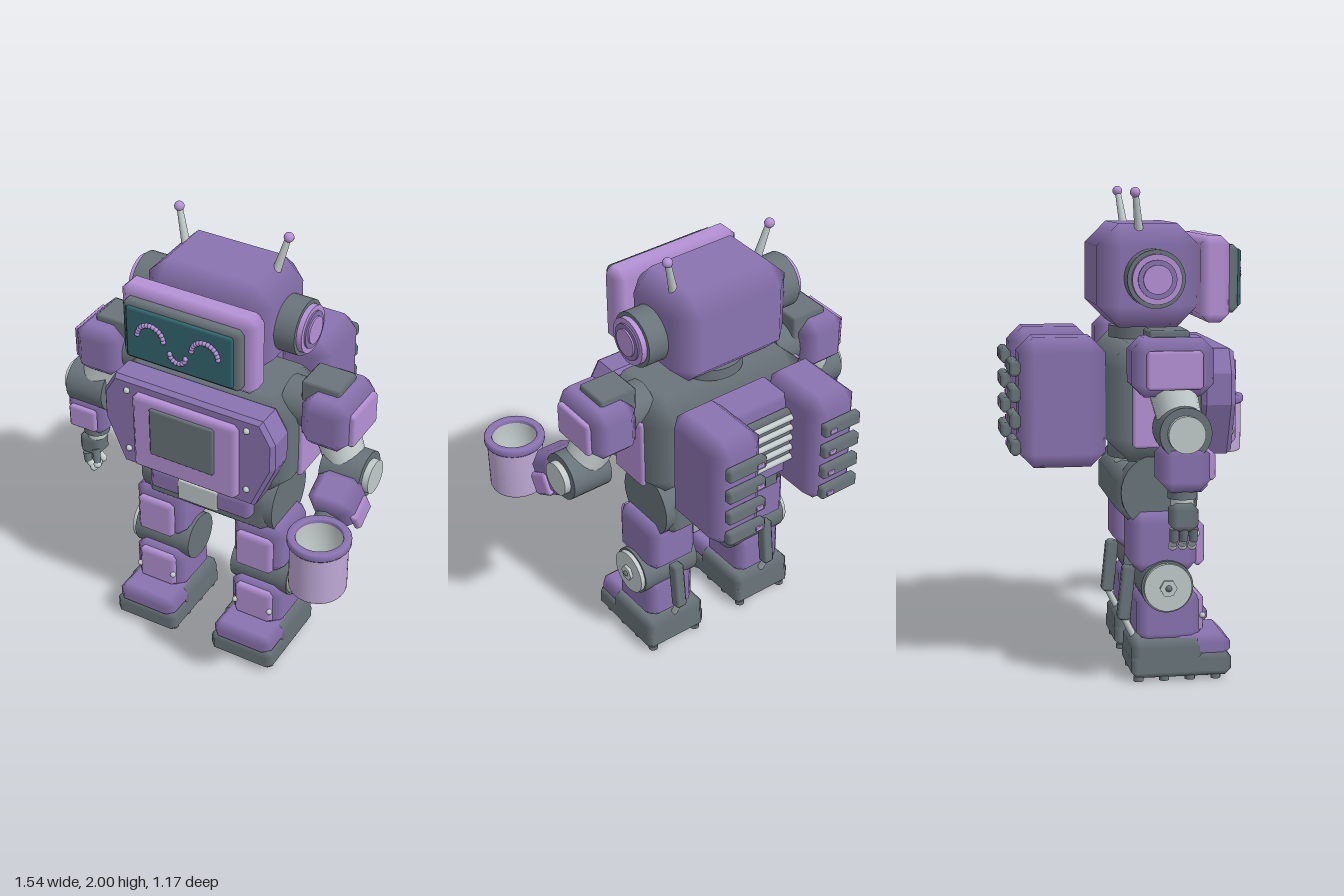
import * as THREE from 'three';
import { ConvexGeometry } from 'three/addons/geometries/ConvexGeometry.js';

const mat = (name, color, side = THREE.FrontSide) => {
  const m = new THREE.MeshStandardMaterial({ color, side });
  m.name = name;
  return m;
};

// Box with 45 degree chamfers, flat faces and softly shaded edges
function chamferBox(w, h, d, c = 0.02) {
  const half = [w / 2, h / 2, d / 2];
  const pts = [];
  for (let axis = 0; axis < 3; axis++)
    for (const a of [-1, 1]) for (const b of [-1, 1]) for (const e of [-1, 1]) {
      const sg = [a, b, e];
      pts.push(new THREE.Vector3(...half.map((v, i) => sg[i] * (i === axis ? v : v - c))));
    }
  const g = new ConvexGeometry(pts);
  const p = g.attributes.position, n = g.attributes.normal;
  for (let i = 0; i < p.count; i++) {
    const v = [p.getX(i), p.getY(i), p.getZ(i)];
    n.setXYZ(i, ...v.map((q, k) => (Math.abs(Math.abs(q) - half[k]) < 1e-5 ? Math.sign(q) : 0)));
  }
  return g;
}

export function createModel() {
  const purple = mat('purple shell', 0x8a73b0);
  const lilac = mat('lilac panel', 0xb592d6);
  const dark = mat('dark grey', 0x69747a);
  const light = mat('light metal', 0xc2caca);
  const teal = mat('teal screen', 0x33656f);
  const pale = mat('pale lilac', 0xbfa9d6, THREE.DoubleSide);

  const model = new THREE.Group();
  const robot = new THREE.Group();
  robot.name = 'robot';
  robot.position.x = -0.04;
  model.add(robot);

  const add = (name, geo, m, x, y, z, parent = robot) => {
    const mesh = new THREE.Mesh(geo, m);
    mesh.name = name;
    mesh.position.set(x, y, z);
    parent.add(mesh);
    return mesh;
  };
  const box = (name, m, w, h, d, c, x, y, z, parent) => add(name, chamferBox(w, h, d, c), m, x, y, z, parent);
  const ball = (name, m, r, x, y, z, parent) => add(name, new THREE.SphereGeometry(r, 16, 12), m, x, y, z, parent);
  const cyl = (name, m, r, h, x, y, z, parent, sides = 32) =>
    add(name, new THREE.CylinderGeometry(r, r, h, sides), m, x, y, z, parent);
  // Cylinder lying along x
  const disc = (name, m, r, h, x, y, z, parent, sides) => {
    const c = cyl(name, m, r, h, x, y, z, parent, sides);
    c.rotation.z = Math.PI / 2;
    return c;
  };
  // Round rod between two points
  const rod = (name, m, a, b, r0, r1, parent) => {
    const p = new THREE.Vector3(...a), q = new THREE.Vector3(...b), dir = q.clone().sub(p);
    const mid = p.clone().add(q).multiplyScalar(0.5);
    const c = add(name, new THREE.CylinderGeometry(r1, r0, dir.length(), 20), m, mid.x, mid.y, mid.z, parent);
    c.quaternion.setFromUnitVectors(new THREE.Vector3(0, 1, 0), dir.normalize());
    return c;
  };

  // Head
  box('head', purple, 0.57, 0.42, 0.42, 0.09, 0, 1.645, -0.005);
  box('face frame', lilac, 0.61, 0.35, 0.12, 0.035, 0, 1.632, 0.255);
  box('screen bezel', dark, 0.532, 0.275, 0.07, 0.02, 0, 1.632, 0.32);
  box('screen', teal, 0.48, 0.232, 0.04, 0.008, 0, 1.635, 0.35);
  // Beaded smiling eyes and mouth
  const beads = (name, cx, cy, r, from, to, count) => {
    for (let i = 0; i < count; i++) {
      const a = from + ((to - from) * i) / (count - 1);
      add(name, new THREE.SphereGeometry(0.011, 8, 6), lilac, cx + r * Math.cos(a), cy + r * Math.sin(a), 0.373);
    }
  };
  for (const s of [-1, 1]) {
    beads('eye', s * 0.123, 1.637, 0.06, 0.1, Math.PI - 0.1, 13);
    disc('ear base', dark, 0.117, 0.1, s * 0.325, 1.64, 0);
    disc('ear ring', lilac, 0.1, 0.024, s * 0.386, 1.64, 0);
    disc('ear inset', purple, 0.078, 0.008, s * 0.401, 1.64, 0);
    disc('ear cap', lilac, 0.058, 0.02, s * 0.402, 1.64, 0);
    rod('antenna', light, [s * 0.208, 1.83, -0.045], [s * 0.247, 1.98, -0.065], 0.018, 0.012);
    ball('antenna tip', lilac, 0.021, s * 0.248, 1.979, -0.066);
  }
  beads('mouth', 0, 1.6, 0.036, Math.PI + 0.1, 2 * Math.PI - 0.1, 8);

  // Neck and torso
  cyl('neck', dark, 0.14, 0.05, 0, 1.405, 0);
  cyl('neck core', dark, 0.1, 0.12, 0, 1.4, 0);
  box('torso', dark, 0.8, 0.48, 0.46, 0.1, 0, 1.14, 0.03);
  const chest = new THREE.Shape(
    [[-0.3, 0.94], [0.3, 0.94], [0.385, 1.14], [0.385, 1.26], [0.335, 1.345], [-0.335, 1.345], [-0.385, 1.26], [-0.385, 1.14]]
      .map(([x, y]) => new THREE.Vector2(x, y)));
  add('chest plate', new THREE.ExtrudeGeometry(chest, {
    depth: 0.1, bevelThickness: 0.02, bevelSize: 0.015, bevelSegments: 1 }), purple, 0, 0, 0.2);
  box('chest panel', lilac, 0.49, 0.365, 0.06, 0.02, 0, 1.133, 0.325);
  box('chest inset', dark, 0.3, 0.23, 0.03, 0.008, 0, 1.17, 0.355);
  for (const s of [-1, 1]) {
    for (const y of [1.305, 1.01]) ball('chest bolt', light, 0.014, s * 0.28, y, 0.322);
    box('torso side panel', lilac, 0.03, 0.32, 0.2, 0.012, s * 0.4, 1.13, 0);
  }

  // Waist, pelvis and belt
  cyl('waist ring', dark, 0.165, 0.06, 0, 0.91, 0.02);
  cyl('waist', light, 0.135, 0.1, 0, 0.87, 0.02);
  box('pelvis', dark, 0.63, 0.22, 0.34, 0.055, 0, 0.758, 0.02);
  box('belt', purple, 0.49, 0.115, 0.08, 0.025, 0, 0.808, 0.2);
  box('buckle', light, 0.19, 0.1, 0.03, 0.005, 0, 0.808, 0.232);

  // Legs
  for (const s of [-1, 1]) {
    const leg = new THREE.Group();
    leg.name = s > 0 ? 'left leg' : 'right leg';
    leg.position.x = s * 0.245;
    robot.add(leg);
    disc('hip', dark, 0.155, 0.1, s * 0.025, 0.775, 0.02, leg);
    box('thigh', purple, 0.245, 0.25, 0.28, 0.045, 0, 0.57, 0.04, leg);
    box('thigh pad', lilac, 0.178, 0.185, 0.05, 0.02, 0, 0.557, 0.183, leg);
    disc('knee', dark, 0.107, 0.275, 0, 0.395, 0.045, leg);
    disc('knee cap', light, 0.098, 0.02, s * 0.147, 0.395, 0.045, leg);
    disc('knee nut', light, 0.036, 0.022, s * 0.16, 0.395, 0.045, leg, 6);
    ball('knee bolt', dark, 0.014, s * 0.167, 0.395, 0.045, leg);
    box('calf', purple, 0.25, 0.22, 0.27, 0.045, 0, 0.26, 0.06, leg);
    box('shin pad', lilac, 0.185, 0.17, 0.05, 0.02, 0, 0.265, 0.18, leg);
    for (const b of [-1, 1]) ball('shin bolt', light, 0.013, b * 0.085, 0.257, 0.2, leg);
    box('piston', dark, 0.055, 0.23, 0.055, 0.012, 0, 0.345, -0.105, leg).rotation.x = 0.1;
    rod('piston rod', light, [0, 0.25, -0.12], [0, 0.16, -0.075], 0.014, 0.014, leg);
    // Boot
    box('boot sole', dark, 0.306, 0.1, 0.415, 0.025, 0, 0.065, 0.105, leg);
    box('boot heel', dark, 0.304, 0.155, 0.3, 0.03, 0, 0.095, 0.05, leg);
    box('toe cap', purple, 0.285, 0.1, 0.24, 0.035, 0, 0.135, 0.193, leg);
    for (const b of [-1, 1]) for (let i = 0; i < 4; i++)
      cyl('tread', dark, 0.021, 0.02, b * 0.115, 0.01, 0.25 - i * 0.107, leg, 12);
  }

  // Backpack
  for (const s of [-1, 1]) {
    box('backpack pod', purple, 0.245, 0.525, 0.35, 0.06, s * 0.24, 1.147, -0.37);
    for (let i = 0; i < 4; i++) {
      box('backpack fin', dark, 0.19, 0.065, 0.045, 0.014, s * 0.24, 1.29 - i * 0.106, -0.56);
      box('fin lamp', lilac, 0.035, 0.02, 0.012, 0.003, s * 0.185, 1.29 - i * 0.106, -0.583);
    }
  }
  box('backpack core', purple, 0.3, 0.4, 0.18, 0.02, 0, 1.16, -0.27);
  box('vent', dark, 0.27, 0.26, 0.04, 0.01, 0, 1.18, -0.375);
  for (let i = 0; i < 5; i++) disc('vent bar', light, 0.014, 0.25, 0, 1.28 - i * 0.05, -0.399, robot, 12);

  // Arms
  for (const s of [-1, 1]) {
    const arm = new THREE.Group();
    arm.name = s > 0 ? 'left arm' : 'right arm';
    robot.add(arm);
    disc('shoulder joint', dark, 0.1, 0.16, s * 0.4, 1.3, 0.025, arm);
    box('shoulder bracket', dark, 0.17, 0.26, 0.16, 0.01, s * 0.487, 1.325, 0.02, arm);
    box('shoulder', purple, 0.21, 0.23, 0.325, 0.05, s * 0.535, 1.315, 0.027, arm);
    box('shoulder pad', lilac, 0.035, 0.15, 0.22, 0.012, s * 0.643, 1.308, 0.027, arm);
    rod('upper arm', light, [s * 0.525, 1.25, 0.03], [s * 0.605, 1.08, 0.06], 0.095, 0.085, arm);
    disc('elbow', dark, 0.102, 0.18, s * 0.613, 1.07, 0.06, arm);
    disc('elbow cap', light, 0.072, 0.028, s * 0.716, 1.07, 0.06, arm);

    // Forearm hangs on the right side and is raised forward on the left
    const fore = new THREE.Group();
    fore.name = 'forearm group';
    fore.position.set(s * 0.625, 1.07, 0.06);
    fore.rotation.x = s > 0 ? -1.05 : 0;
    arm.add(fore);
    box('forearm', purple, 0.2, 0.19, 0.2, 0.045, 0, -0.135, 0, fore);
    if (s > 0) box('forearm plate', lilac, 0.035, 0.12, 0.1, 0.012, 0.1, -0.15, -0.03, fore);
    else box('forearm plate', lilac, 0.135, 0.11, 0.035, 0.012, 0.005, -0.13, 0.103, fore);
    cyl('wrist', dark, 0.058, 0.05, 0, -0.235, 0, fore);
    cyl('cuff', light, 0.045, 0.05, 0, -0.265, 0, fore);
    if (s > 0) {
      box('palm', dark, 0.1, 0.07, 0.1, 0.02, -0.01, -0.29, 0, fore);
      continue;
    }
    // Open hand
    box('palm', dark, 0.105, 0.11, 0.11, 0.025, -0.018, -0.33, 0, fore);
    for (let i = 0; i < 3; i++) {
      const z = (i - 1) * 0.038;
      rod('finger', dark, [-0.035, -0.375, z], [-0.03, -0.425, z], 0.019, 0.017, fore);
      rod('fingertip', light, [-0.03, -0.42, z], [-0.005, -0.445, z], 0.016, 0.015, fore);
      ball('finger end', light, 0.018, -0.003, -0.45, z, fore);
    }
    rod('thumb', dark, [0.015, -0.34, 0.04], [0.03, -0.4, 0.055], 0.018, 0.016, fore);
    ball('thumb end', light, 0.018, 0.031, -0.41, 0.057, fore);
  }

  // Mug
  const mug = new THREE.Group();
  mug.name = 'mug';
  mug.position.set(0.683, 0, 0.457);
  robot.add(mug);
  const lathe = (name, m, pts) =>
    add(name, new THREE.LatheGeometry(pts.map(([r, y]) => new THREE.Vector2(r, y)), 40), m, 0, 0, 0, mug);
  lathe('mug wall', pale, [[0.112, 0.778], [0.117, 0.79], [0.117, 1.005]]);
  cyl('mug base', light, 0.112, 0.02, 0, 0.788, 0, mug, 40);
  lathe('mug lining', light, [[0.094, 1.02], [0.092, 0.8], [0, 0.8]]);
  lathe('mug rim', purple, [[0.094, 1.002], [0.122, 1.002], [0.128, 1.01], [0.128, 1.03], [0.122, 1.038], [0.098, 1.038], [0.094, 1.03], [0.094, 1.002]]);

  return model;
}
